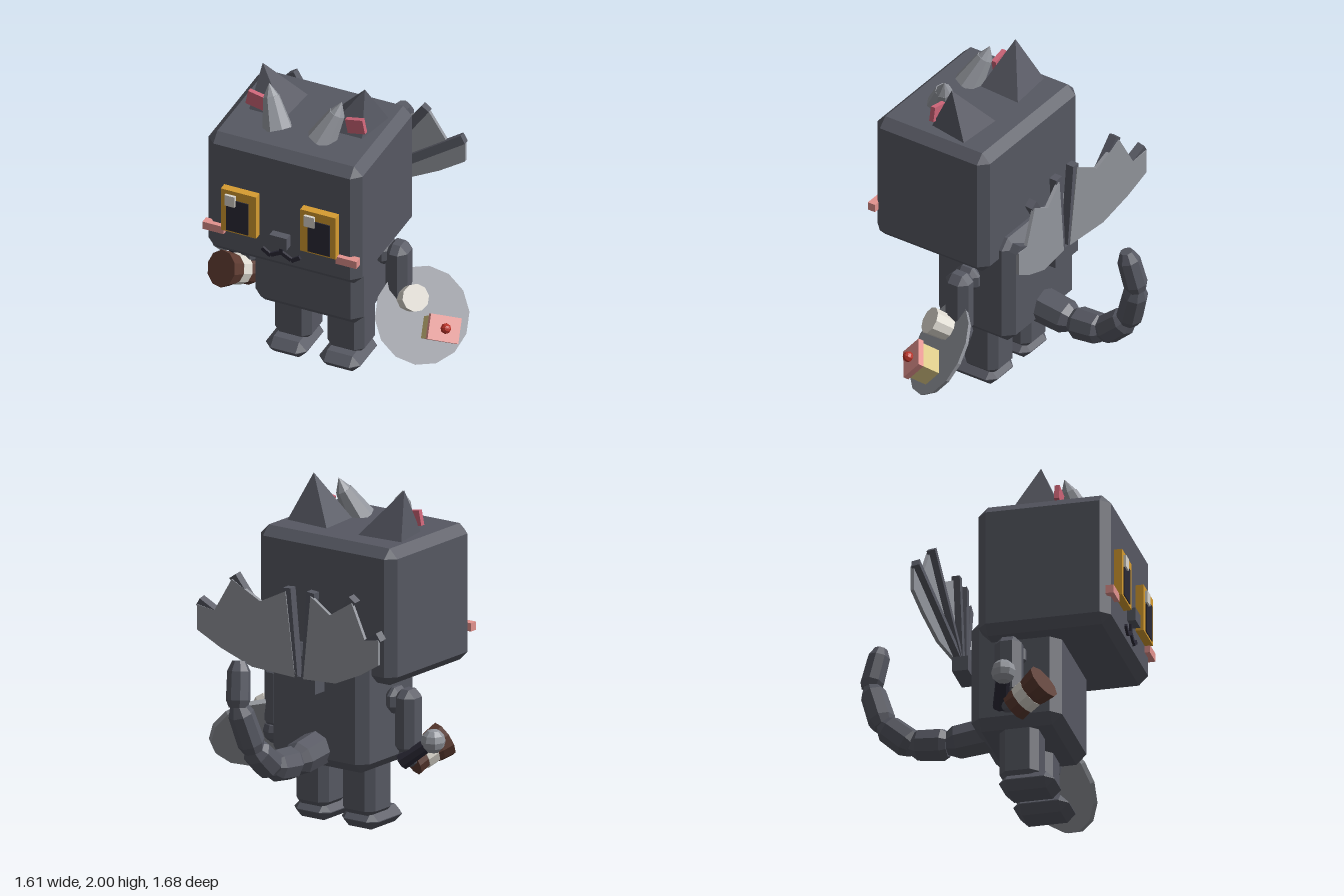
import * as THREE from 'three';
import { ConvexGeometry } from 'three/addons/geometries/ConvexGeometry.js';

const V = (x, y, z) => new THREE.Vector3(x, y, z);
const CX = -0.09; // symmetry plane of the body

export function createModel() {
  const root = new THREE.Group();
  const mat = (name, color) => {
    const m = new THREE.MeshStandardMaterial({ color });
    m.name = name;
    return m;
  };
  const fur = mat('slate fur', 0x565862);
  const grey = mat('light grey', 0x92959c);
  const amber = mat('amber', 0xd69c30);
  const navy = mat('dark navy', 0x2b2a37);
  const cream = mat('cream', 0xdbd7ce);
  const pink = mat('pink', 0xe3938f);
  const rose = mat('rose', 0xcc6477);
  const brown = mat('brown', 0x5c3a30);
  const sponge = mat('sponge yellow', 0xd8c684);
  const red = mat('cherry red', 0xb83228);

  // faceted normals for every part
  const add = (name, geo, material, parent = root) => {
    const g = geo.index ? geo.toNonIndexed() : geo;
    g.computeVertexNormals();
    const mesh = new THREE.Mesh(g, material);
    mesh.name = name;
    parent.add(mesh);
    return mesh;
  };
  const box = (name, m, x0, x1, y0, y1, z0, z1, parent) => {
    const mesh = add(name, new THREE.BoxGeometry(x1 - x0, y1 - y0, z1 - z0), m, parent);
    mesh.position.set((x0 + x1) / 2, (y0 + y1) / 2, (z0 + z1) / 2);
    return mesh;
  };
  // box with chamfered edges and corners
  const chamferBox = (name, m, x0, x1, y0, y1, z0, z1, c) => {
    const h = [(x1 - x0) / 2, (y1 - y0) / 2, (z1 - z0) / 2];
    const pts = [];
    for (const sx of [-1, 1]) for (const sy of [-1, 1]) for (const sz of [-1, 1])
      for (let k = 0; k < 3; k++) {
        const d = h.map((v, i) => (i === k ? v : v - c));
        pts.push(V(sx * d[0], sy * d[1], sz * d[2]));
      }
    const mesh = add(name, new ConvexGeometry(pts), m);
    mesh.position.set((x0 + x1) / 2, (y0 + y1) / 2, (z0 + z1) / 2);
    return mesh;
  };
  // place a mesh made along +y so that it starts at a and points to b
  const aim = (mesh, a, b) => {
    mesh.position.copy(a);
    mesh.quaternion.setFromUnitVectors(V(0, 1, 0), b.clone().sub(a).normalize());
    return mesh;
  };
  // solid of revolution from a to b; profile is [fraction, radius]
  const spindle = (name, m, a, b, profile, sides = 8) => {
    const len = a.distanceTo(b);
    const pts = profile.map(([t, r]) => new THREE.Vector2(r, t * len));
    return aim(add(name, new THREE.LatheGeometry(pts, sides), m), a, b);
  };
  const ball = (name, m, r, p, parent) => {
    const mesh = add(name, new THREE.SphereGeometry(r, 8, 6), m, parent);
    mesh.position.copy(p);
    return mesh;
  };

  // head and body
  chamferBox('head', fur, -0.58, 0.4, 0.915, 1.735, -0.02, 0.77, 0.055);
  chamferBox('body', fur, -0.435, 0.255, 0.38, 1.09, -0.1, 0.44, 0.06);

  // nose and mouth
  box('nose', fur, -0.145, -0.035, 1.1, 1.18, 0.76, 0.82);
  box('mouthStem', navy, CX - 0.011, CX + 0.011, 1.035, 1.1, 0.765, 0.785);

  for (const s of [1, -1]) {
    const X = (d) => CX + s * d;
    const sided = (fn, name, m, d0, d1, ...rest) =>
      fn(name, m, Math.min(X(d0), X(d1)), Math.max(X(d0), X(d1)), ...rest);

    // legs, feet, arms
    sided(chamferBox, 'leg', fur, 0.05, 0.285, 0.07, 0.46, 0.055, 0.29, 0.045);
    sided(chamferBox, 'foot', fur, 0.04, 0.3, 0, 0.105, 0.055, 0.385, 0.05);
    sided(chamferBox, 'shoulder', fur, 0.33, 0.44, 0.715, 0.87, 0.09, 0.25, 0.045);
    sided(chamferBox, 'arm', fur, 0.4, 0.54, 0.48, 0.87, 0.09, 0.25, 0.045);
    ball('hand', fur, s > 0 ? 0.08 : 0.065, V(X(0.475), 0.465, 0.165));

    // eyes and cheeks
    sided(box, 'iris', amber, 0.14, 0.365, 1.125, 1.415, 0.765, 0.818);
    sided(box, 'pupil', navy, 0.19, 0.33, 1.137, 1.355, 0.815, 0.824);
    const gx = s > 0 ? 0.08 : -0.425;
    box('eyeGlint', cream, gx, gx + 0.065, 1.315, 1.388, 0.815, 0.835);
    sided(box, 'cheek', pink, 0.355, 0.49, 1.083, 1.133, 0.75, 0.8);

    // mouth curve
    for (const [d, y, tilt] of [[0.034, 1.028, -0.5], [0.093, 1.024, 0.6]]) {
      const lip = add('mouthCorner', new THREE.BoxGeometry(0.066, 0.024, 0.02), navy);
      lip.position.set(X(d), y, 0.775);
      lip.rotation.z = s * tilt;
    }

    // ears
    add('ear', new ConvexGeometry([
      V(X(0.11), 1.73, 0.16), V(X(0.41), 1.73, 0.18), V(X(0.36), 1.73, 0.44),
      V(X(0.13), 1.73, 0.44), V(X(0.325), 2, 0.325)]), fur);
    const inner = add('innerEar', new THREE.BoxGeometry(0.112, 0.092, 0.03), rose);
    inner.position.set(X(0.317), 1.81, 0.43);
    inner.rotation.z = s * 0.2;

    // horns: wide base, bent tip
    const h0 = V(X(0.14), 1.715, 0.525), h1 = V(X(0.21), 1.885, 0.46), h2 = V(X(0.232), 1.96, 0.44);
    spindle('hornBase', grey, h0, h1, [[0, 0], [0, 0.092], [1, 0.05], [1, 0]]);
    spindle('hornTip', grey, h1, h2, [[-0.05, 0], [-0.05, 0.05], [1, 0]]);

    // wing: scalloped membrane swept back, with three struts
    const wz = (d) => -0.235 - 0.18 * d;
    const outline = [[0.03, 0.95], [0.3, 0.98], [0.5, 1.07], [0.65, 1.16], [0.65, 1.31],
      [0.54, 1.29], [0.43, 1.49], [0.25, 1.38], [0.09, 1.46]];
    const shape = new THREE.Shape(outline.map(([d, y]) => new THREE.Vector2(s * d, y)));
    const membrane = new THREE.ExtrudeGeometry(shape, { depth: 0.022, bevelEnabled: false });
    const p = membrane.attributes.position;
    for (let i = 0; i < p.count; i++) p.setZ(i, p.getZ(i) + wz(Math.abs(p.getX(i))) - 0.02);
    add('wingMembrane', membrane, grey).position.x = CX;
    for (const [d, y] of [[0.085, 1.48], [0.43, 1.51], [0.65, 1.33]]) {
      const a = V(X(0.04), 0.95, wz(0.04) + 0.01), b = V(X(d), y, wz(d) + 0.01);
      const g = new THREE.BoxGeometry(0.055, a.distanceTo(b), 0.05);
      g.translate(0, a.distanceTo(b) / 2, 0);
      aim(add('wingStrut', g, fur), a, b);
    }
  }
  box('wingRoot', fur, -0.205, 0.025, 0.87, 0.96, -0.26, -0.165);

  // tail of overlapping segments
  const tail = [V(CX, 0.5, -0.02), V(CX, 0.46, -0.32), V(-0.085, 0.48, -0.53),
    V(-0.085, 0.63, -0.7), V(-0.04, 0.9, -0.785), V(-0.01, 1.14, -0.735)];
  for (let i = 0; i < 5; i++) {
    const r = 0.108 - i * 0.009;
    spindle('tailSegment', fur, tail[i], tail[i + 1],
      [[-0.06, 0], [-0.06, r * 0.75], [0.12, r], [0.8, r * 0.95], [1.04, r * 0.55], [1.04, 0]]);
  }

  // barrel-headed toy in the right hand
  const b0 = V(-0.56, 0.43, 0.2), b1 = V(-0.645, 0.53, 0.4);
  spindle('barrelBack', brown, b0, b1, [[0, 0], [0, 0.095], [0.3, 0.085], [0.3, 0]], 10);
  spindle('barrelBand', cream, b0, b1, [[0.28, 0], [0.28, 0.093], [0.58, 0.093], [0.58, 0]], 10);
  spindle('barrelFront', brown, b0, b1, [[0.56, 0], [0.56, 0.09], [0.7, 0.1], [1, 0.11], [1, 0]], 10);
  spindle('toyHandle', navy, V(-0.55, 0.44, 0.12), V(-0.73, 0.58, 0.18),
    [[0, 0], [0, 0.05], [1, 0.04], [1, 0]]);
  ball('toyKnob', grey, 0.073, V(-0.73, 0.58, 0.18));

  // tilted plate with cup and cake in the left hand
  const tray = new THREE.Group();
  tray.name = 'plateWithTreats';
  const up = V(0.61, 0.56, 0.56).normalize();
  const ez = V(0.02, -0.11, 0.09).projectOnPlane(up).normalize();
  const ex = up.clone().cross(ez);
  tray.quaternion.setFromRotationMatrix(new THREE.Matrix4().makeBasis(ex, up, ez));
  tray.position.set(0.535, 0.415, 0.195);
  root.add(tray);
  const local = (x, y, z) => { // tray coordinates of a world point
    const d = V(x, y, z).sub(tray.position);
    return V(d.dot(ex), d.dot(up), d.dot(ez));
  };
  add('plate', new THREE.CylinderGeometry(0.29, 0.28, 0.025, 14), grey, tray);
  const cup = local(0.51, 0.565, 0.25);
  add('cup', new THREE.CylinderGeometry(0.082, 0.075, 0.13, 10), cream, tray).position.set(cup.x, 0.075, cup.z);
  const c = local(0.73, 0.435, 0.285);
  box('cakeSponge', sponge, c.x - 0.085, c.x + 0.085, 0, 0.13, c.z - 0.065, c.z + 0.065, tray);
  box('cakeIcing', pink, c.x - 0.095, c.x + 0.095, 0.13, 0.165, c.z - 0.075, c.z + 0.075, tray);
  ball('cherry', red, 0.032, V(c.x, 0.185, c.z), tray);

  return root;
}
